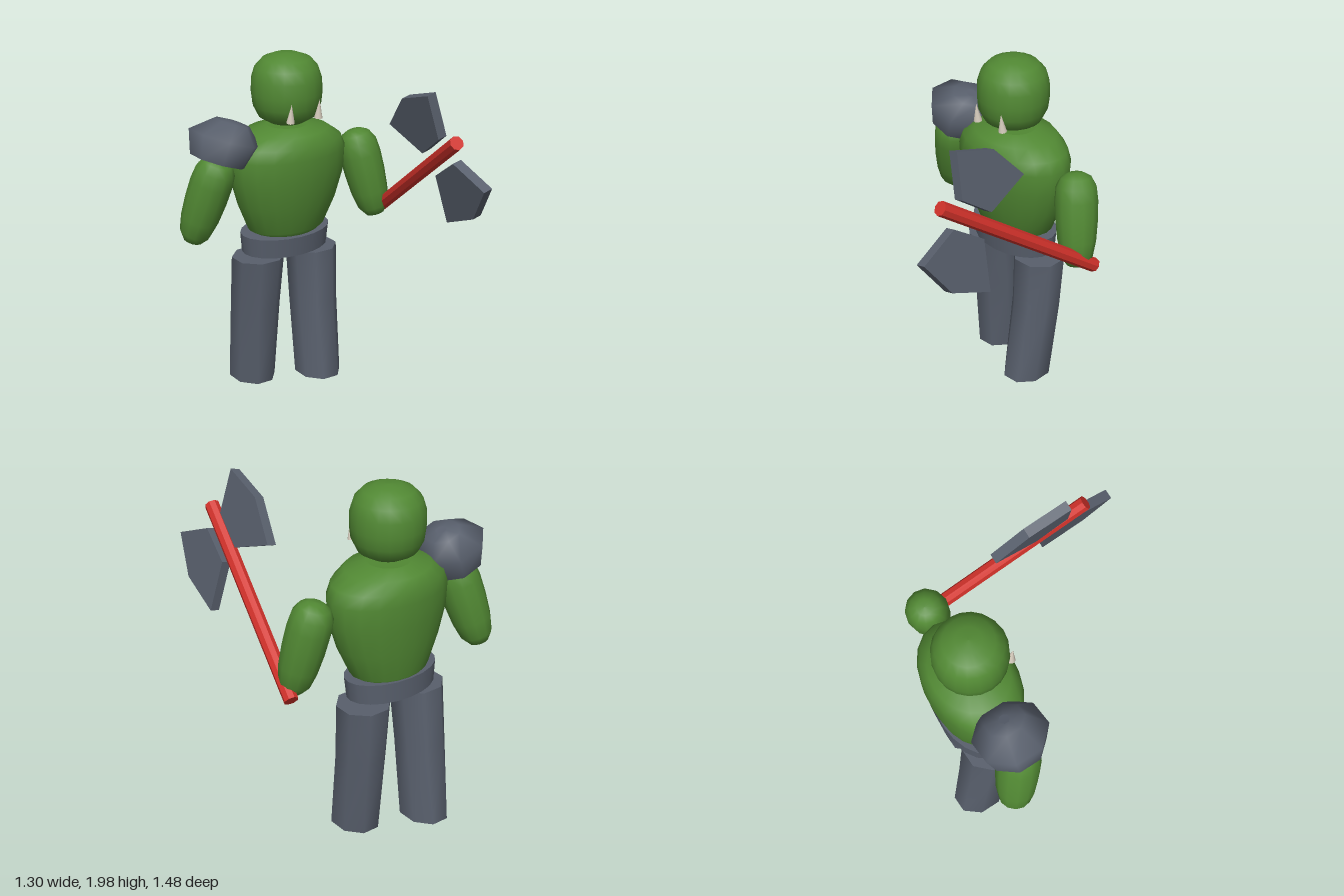
import * as THREE from 'three';

const green = new THREE.MeshStandardMaterial({ name: 'green skin', color: 0x518833 });
const grey = new THREE.MeshStandardMaterial({ name: 'slate grey', color: 0x585f6c });
const red = new THREE.MeshStandardMaterial({ name: 'red handle', color: 0xd0312a });
const ivory = new THREE.MeshStandardMaterial({ name: 'ivory tusk', color: 0xd6ccbd });

const v3 = (p) => new THREE.Vector3(...p);

function add(group, name, geometry, material) {
  const mesh = new THREE.Mesh(geometry, material);
  mesh.name = name;
  group.add(mesh);
  return mesh;
}

// Skin over elliptical rings [x, y, z, rx, rz], listed bottom to top, with closed hard ends
function loft(rings, sides, turn = 0) {
  const pos = [], idx = [];
  const end = (r) => [r[0], r[1], r[2], 0, 0];
  const first = rings[0], last = rings[rings.length - 1];
  const all = [end(first), first, ...rings, last, end(last)];
  for (const [x, y, z, rx, rz] of all) {
    for (let j = 0; j < sides; j++) {
      const a = turn + (j / sides) * Math.PI * 2;
      pos.push(x + rx * Math.cos(a), y, z + rz * Math.sin(a));
    }
  }
  for (let i = 0; i < all.length - 1; i++) {
    if (all[i] === all[i + 1]) continue;
    for (let j = 0; j < sides; j++) {
      const k = (j + 1) % sides, a = i * sides, b = a + sides;
      idx.push(a + j, b + j, a + k, a + k, b + j, b + k);
    }
  }
  const g = new THREE.BufferGeometry();
  g.setAttribute('position', new THREE.Float32BufferAttribute(pos, 3));
  g.setIndex(idx);
  g.computeVertexNormals();
  return g;
}

// Turned shape from [radius, height] points
const lathe = (profile, sides) =>
  new THREE.LatheGeometry(profile.map((p) => new THREE.Vector2(...p)), sides);

// Stand a mesh's y axis along the line from a to b, centred between them
function align(mesh, a, b) {
  const from = v3(a), to = v3(b);
  mesh.position.copy(from).add(to).multiplyScalar(0.5);
  mesh.quaternion.setFromUnitVectors(new THREE.Vector3(0, 1, 0), to.sub(from).normalize());
}

export function createModel() {
  const model = new THREE.Group();
  model.name = 'greenWarrior';

  // Head and tusks
  const head = add(model, 'head', lathe([
    [0, -0.205], [0.1, -0.19], [0.16, -0.155], [0.192, -0.09], [0.2, -0.02],
    [0.198, 0.06], [0.178, 0.125], [0.135, 0.172], [0.07, 0.197], [0, 0.202],
  ], 20), green);
  head.position.set(-0.008, 1.798, -0.45);
  for (const x of [-0.1, 0.083]) {
    const tusk = add(model, 'tusk', new THREE.ConeGeometry(0.024, 0.108, 10), ivory);
    align(tusk, [x, 1.655, -0.27], [x, 1.76, -0.255]);
  }

  // Barrel torso
  add(model, 'torso', loft([
    [0, 0.95, -0.49, 0.19, 0.15], [0, 0.98, -0.487, 0.235, 0.17],
    [0, 1.14, -0.473, 0.305, 0.21], [0, 1.3, -0.465, 0.353, 0.237],
    [0, 1.43, -0.463, 0.36, 0.243], [0, 1.5, -0.463, 0.33, 0.235],
    [0, 1.56, -0.465, 0.245, 0.205], [0, 1.59, -0.465, 0.12, 0.12],
  ], 20), green);

  // Belt
  const belt = add(model, 'belt', new THREE.CylinderGeometry(1, 0.96, 0.115, 20), grey);
  belt.scale.set(0.28, 1, 0.18);
  belt.rotation.x = 0.05;
  belt.position.set(-0.008, 0.905, -0.49);

  // Legs in mid-stride
  add(model, 'leftLeg', loft([
    [0.172, 0.025, -0.425, 0.13, 0.155], [0.178, 0.5, -0.48, 0.142, 0.142],
    [0.177, 0.81, -0.495, 0.15, 0.15],
  ], 8, Math.PI / 8), grey);
  add(model, 'rightLeg', loft([
    [-0.185, 0.025, -0.592, 0.13, 0.157], [-0.185, 0.5, -0.54, 0.145, 0.142],
    [-0.186, 0.82, -0.497, 0.153, 0.15],
  ], 8, Math.PI / 8), grey);

  // Arms
  const armProfile = [
    [0, -0.268], [0.055, -0.262], [0.088, -0.215], [0.108, -0.12], [0.118, 0],
    [0.12, 0.11], [0.112, 0.185], [0.085, 0.235], [0.045, 0.258], [0, 0.262],
  ];
  const leftArm = add(model, 'leftArm', lathe(armProfile, 12), green);
  align(leftArm, [0.555, 0.965, -0.375], [0.455, 1.475, -0.455]);
  const rightArm = add(model, 'rightArm', lathe(armProfile, 12), green);
  align(rightArm, [-0.57, 0.965, -0.575], [-0.45, 1.475, -0.445]);

  // Shoulder plate on the right side, tilted inward
  const plate = add(model, 'shoulderPlate', loft([
    [0, -0.1, 0, 0.16, 0.165], [0, 0.035, 0, 0.205, 0.205],
    [0.02, 0.125, 0, 0.1, 0.11], [0.02, 0.135, 0, 0.03, 0.03],
  ], 8, Math.PI / 8), grey);
  plate.position.set(-0.412, 1.54, -0.475);
  plate.rotation.z = -0.34;

  // Axe: long handle with two blades lying in one slanted plane
  const axe = new THREE.Group();
  axe.name = 'axe';
  model.add(axe);
  const a = [0.615, 0.955, -0.45], b = [0.415, 1.66, 0.54];
  const handleGeometry = new THREE.CylinderGeometry(0.04, 0.04, v3(a).distanceTo(v3(b)), 8).toNonIndexed();
  handleGeometry.computeVertexNormals();
  align(add(axe, 'axeHandle', handleGeometry, red), a, b);

  const slope = 0.253, thickness = 0.055;
  const stretch = Math.hypot(1, slope);
  const blades = {
    upperBlade: [[0.39, 1.9], [0.143, 1.825], [-0.035, 1.628], [0.233, 1.525], [0.413, 1.655]],
    lowerBlade: [[0.503, 1.54], [0.317, 1.415], [0.34, 1.135], [0.593, 1.237], [0.738, 1.44]],
  };
  for (const [name, corners] of Object.entries(blades)) {
    const outline = new THREE.Shape(corners.map(([z, y]) => new THREE.Vector2(z, y * stretch)));
    const g = new THREE.ExtrudeGeometry(outline, { depth: thickness, bevelEnabled: false });
    g.rotateY(-Math.PI / 2);
    g.translate(thickness / 2, 0, 0);
    const blade = add(axe, name, g, grey);
    blade.rotation.z = Math.atan(slope);
    blade.position.x = 0.838;
  }

  return model;
}
